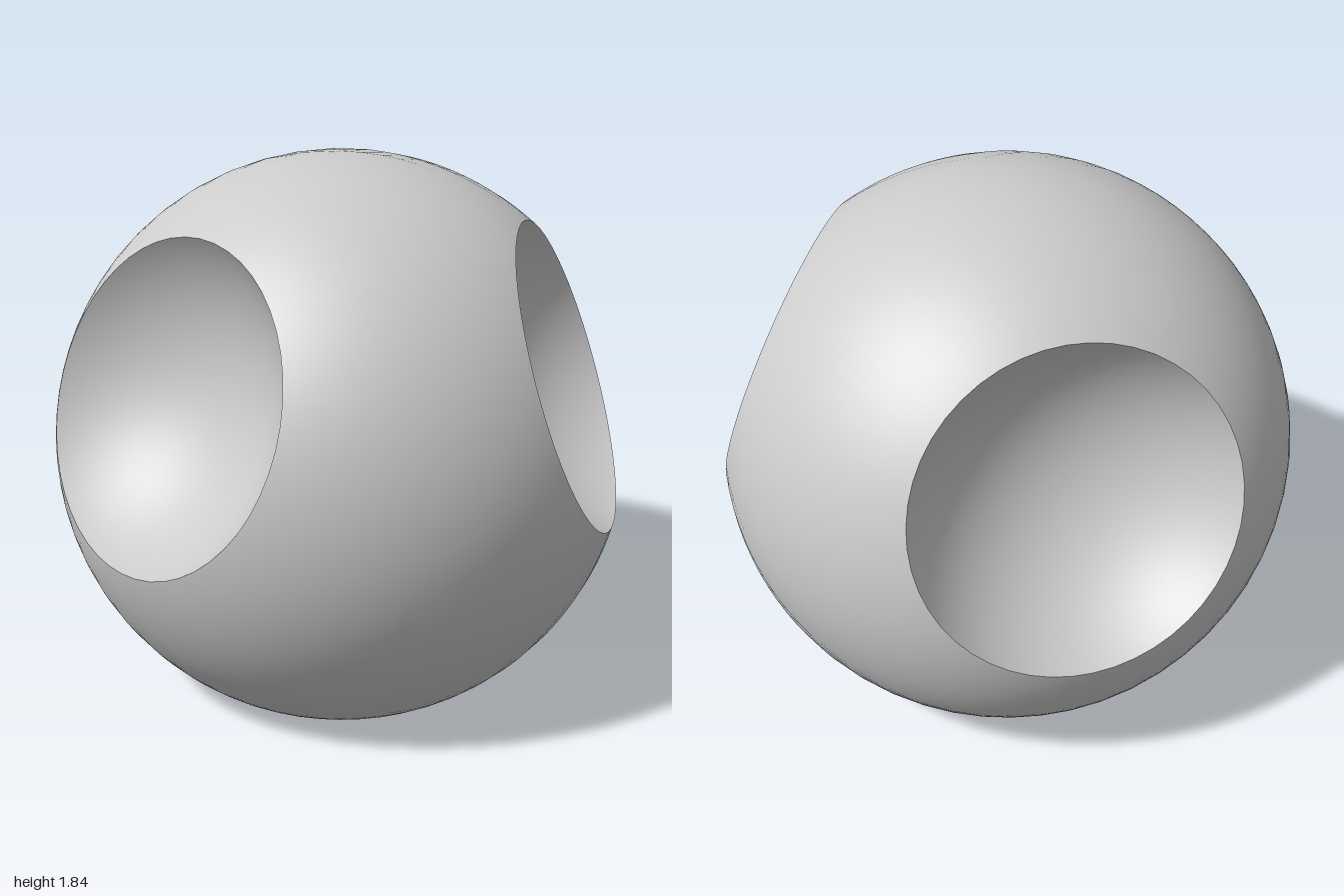
import * as THREE from 'three';

const SEG = 48;
const RIM = THREE.MathUtils.degToRad(32.7);  // angular radius of each dent opening
const DENT_R = 0.66;                         // radius of the scooped-out spheres
const TETRA = Math.acos(-1 / 3);             // angle between two dent axes

// Quarter of the ball around +y: from the dent rim out to a spherical triangle edge.
function shellPatch() {
  const geo = new THREE.SphereGeometry(1, SEG, 10, 0, Math.PI * 2, RIM, 0.5);
  const { position, normal, uv } = geo.attributes;
  const third = (Math.PI * 2) / 3;
  for (let i = 0; i < position.count; i++) {
    const phi = uv.getX(i) * Math.PI * 2;
    const fromNeighbour = phi - Math.round(phi / third) * third;
    const edge = Math.atan(Math.tan(TETRA / 2) / Math.cos(fromNeighbour));
    const theta = RIM + (edge - RIM) * (1 - uv.getY(i));
    const p = new THREE.Vector3().setFromSphericalCoords(1, theta, phi);
    position.setXYZ(i, p.x, p.y, p.z);
    normal.setXYZ(i, p.x, p.y, p.z);
  }
  return geo;
}

// Concave bowl that meets the rim, facing +y.
function dentBowl() {
  const half = Math.asin(Math.sin(RIM) / DENT_R);
  const geo = new THREE.SphereGeometry(DENT_R, SEG, 14, 0, Math.PI * 2, 0, half);
  geo.scale(1, -1, 1);
  geo.translate(0, Math.cos(RIM) + DENT_R * Math.cos(half), 0);
  const n = geo.attributes.normal;
  for (let i = 0; i < n.count; i++) n.setXYZ(i, -n.getX(i), -n.getY(i), -n.getZ(i));
  return geo;
}

export function createModel() {
  const model = new THREE.Group();
  model.name = 'dentedBall';
  const material = new THREE.MeshStandardMaterial({ color: 0xcccccc });
  const shell = shellPatch();
  const bowl = dentBowl();

  // Four dents in a tetrahedral layout: three around the sides, one underneath.
  const tilt = Math.PI - TETRA;
  const sides = [
    ['front', tilt, 0, 0],
    ['backLeft', tilt, (Math.PI * 2) / 3, 0],
    ['backRight', tilt, (-Math.PI * 2) / 3, 0],
    ['bottom', 0, 0, Math.PI],
  ];
  for (const [name, rx, ry, rz] of sides) {
    const quarter = new THREE.Group();
    quarter.name = name + 'Quarter';
    quarter.rotation.set(rx, ry, rz, 'YXZ');
    const outer = new THREE.Mesh(shell, material);
    outer.name = name + 'Shell';
    const dent = new THREE.Mesh(bowl, material);
    dent.name = name + 'Dent';
    quarter.add(outer, dent);
    model.add(quarter);
  }
  model.position.set(0, 0.85, 0.01);

  const root = new THREE.Group();
  root.add(model);
  return root;
}
